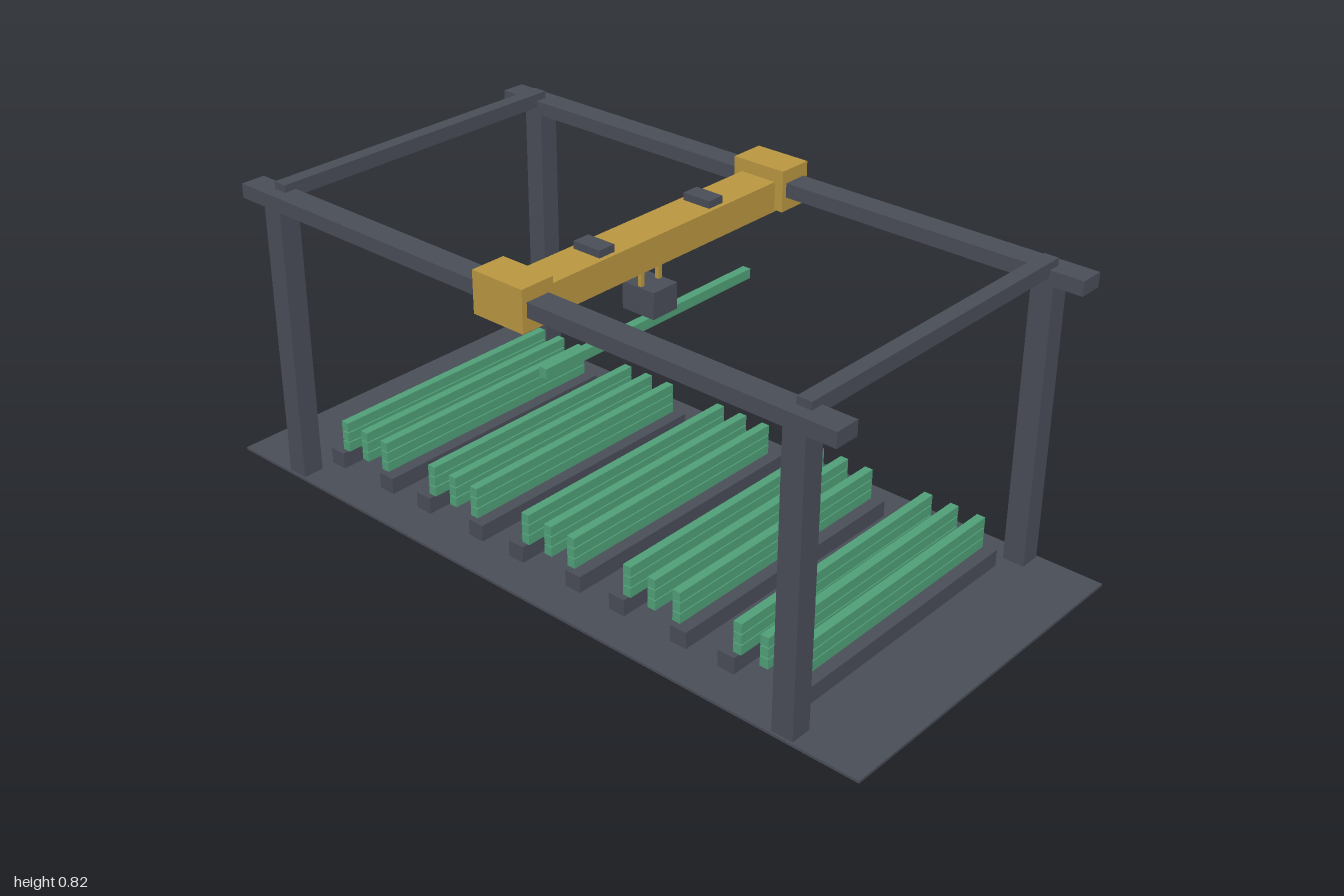
import * as THREE from 'three';

const steel = new THREE.MeshStandardMaterial({ color: 0x494d57 });
steel.name = 'dark steel';
const yellow = new THREE.MeshStandardMaterial({ color: 0xb8953f });
yellow.name = 'crane yellow';
const green = new THREE.MeshStandardMaterial({ color: 0x4f9f78 });
green.name = 'stock green';

// Box given by its centre x and z, its bottom and top, and its width and depth
function addBox(parent, name, material, x, z, y0, y1, w, d) {
  const mesh = new THREE.Mesh(new THREE.BoxGeometry(w, y1 - y0, d), material);
  mesh.position.set(x, (y0 + y1) / 2, z);
  mesh.name = name;
  parent.add(mesh);
}

function addGroup(parent, name) {
  const group = new THREE.Group();
  group.name = name;
  parent.add(group);
  return group;
}

export function createModel() {
  const model = new THREE.Group();
  model.name = 'gantryCrane';

  addBox(model, 'floorPlate', steel, 0, 0, 0, 0.007, 0.95, 2);

  // Fixed frame: four posts, two long rails, two end beams
  const frame = addGroup(model, 'frame');
  for (const s of [-1, 1]) {
    for (const e of [-1, 1]) {
      addBox(frame, 'post', steel, s * 0.441, e * 0.795, 0.007, 0.746, 0.057, 0.057);
    }
    addBox(frame, 'rail', steel, s * 0.441, 0, 0.746, 0.783, 0.066, 1.8);
    addBox(frame, 'endBeam', steel, 0, s * 0.795, 0.765, 0.802, 0.882, 0.038);
  }

  // Five storage bays: two bearers, three stacks of three bars
  for (let i = -2; i <= 2; i++) {
    const bay = addGroup(model, 'storageBay');
    bay.position.z = i * 0.327;
    for (const s of [-1, 1]) {
      addBox(bay, 'bearer', steel, 0, s * 0.094, 0.007, 0.051, 0.746, 0.047);
    }
    for (let k = -1; k <= 1; k++) {
      for (let layer = 0; layer < 3; layer++) {
        const y = 0.053 + layer * 0.0285;
        addBox(bay, 'bar', green, 0, k * 0.075, y, y + 0.0255, 0.716, 0.023);
      }
    }
  }

  // Travelling bridge with its carriages, drives and hoist
  const bridge = addGroup(model, 'bridge');
  addBox(bridge, 'girder', yellow, 0, 0, 0.706, 0.784, 0.84, 0.104);
  for (const s of [-1, 1]) {
    addBox(bridge, 'endCarriage', yellow, s * 0.441, 0, 0.711, 0.817, 0.094, 0.152);
    addBox(bridge, 'driveUnit', steel, s * 0.187, 0, 0.784, 0.803, 0.048, 0.08);
    addBox(bridge, 'hoistStrap', yellow, s * 0.03, 0, 0.638, 0.708, 0.011, 0.011);
  }
  addBox(bridge, 'gripper', steel, 0, 0, 0.571, 0.64, 0.082, 0.098);
  addBox(bridge, 'carriedBar', green, 0, 0, 0.527, 0.553, 0.716, 0.023);

  return model;
}
